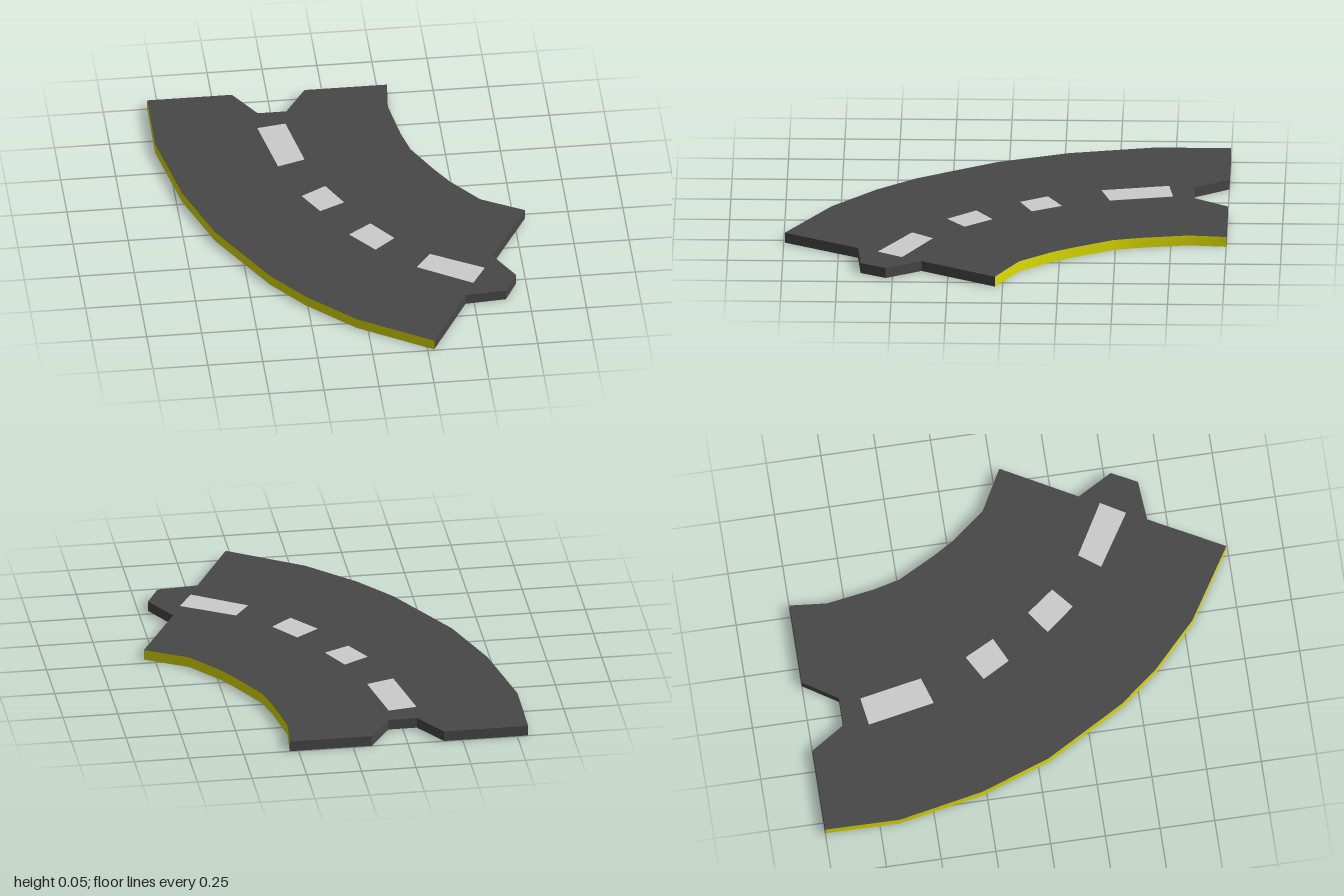
import * as THREE from 'three';

const BOTTOM = 0.001, TOP = 0.049;

// Plan outline as [x, z], split into four runs that meet at the corners
const outerEdge = [[-0.8, -1], [-0.803, -0.66], [-0.725, -0.27], [-0.61, 0.05], [-0.4, 0.415], [-0.26, 0.59], [-0.05, 0.79], [0.28, 0.995]];
const tabEnd = [[0.28, 0.995], [0.46, 0.66], [0.645, 0.645], [0.705, 0.53], [0.615, 0.37], [0.8, 0.035]];
const innerEdge = [[0.8, 0.035], [0.61, -0.07], [0.49, -0.22], [0.43, -0.32], [0.34, -0.49], [0.31, -0.61], [0.275, -0.83], [0.29, -1]];
const notchEnd = [[0.29, -1], [-0.085, -1], [-0.185, -0.845], [-0.315, -0.845], [-0.415, -1], [-0.8, -1]];

// Lane dashes, corners counterclockwise from above
const dashes = [
  [[-0.33, -0.73], [-0.27, -0.425], [-0.145, -0.465], [-0.2, -0.75]],
  [[-0.19, -0.185], [-0.12, -0.06], [-0.005, -0.115], [-0.075, -0.25]],
  [[-0.01, 0.135], [0.095, 0.265], [0.19, 0.185], [0.095, 0.06]],
  [[0.335, 0.325], [0.265, 0.42], [0.505, 0.57], [0.57, 0.46]],
];

const toShape = (points) => new THREE.Shape(points.map(([x, z]) => new THREE.Vector2(x, -z)));

// Upright strip following a run of the outline
function wall(points, smooth) {
  const positions = [], index = [];
  points.forEach(([x, z], i) => {
    positions.push(x, BOTTOM, z, x, TOP, z);
    const a = i * 2;
    if (i < points.length - 1) index.push(a, a + 2, a + 3, a, a + 3, a + 1);
  });
  let geometry = new THREE.BufferGeometry();
  geometry.setAttribute('position', new THREE.Float32BufferAttribute(positions, 3));
  geometry.setIndex(index);
  if (!smooth) geometry = geometry.toNonIndexed();
  geometry.computeVertexNormals();
  return geometry;
}

export function createModel() {
  const group = new THREE.Group();
  group.name = 'curvedRoadPiece';
  const asphalt = new THREE.MeshStandardMaterial({ color: 0x484848 });
  const yellow = new THREE.MeshStandardMaterial({ color: 0xe0e000 });
  const paint = new THREE.MeshStandardMaterial({ color: 0xbcbcbc });

  const add = (name, geometry, material) => {
    const mesh = new THREE.Mesh(geometry, material);
    mesh.name = name;
    group.add(mesh);
    return mesh;
  };

  // Road surface and underside
  const runs = [outerEdge, tabEnd, innerEdge, notchEnd];
  const plan = toShape(runs.flatMap((run) => run.slice(0, -1)));
  add('roadSurface', new THREE.ShapeGeometry(plan).rotateX(-Math.PI / 2).translate(0, TOP, 0), asphalt);
  const under = new THREE.ShapeGeometry(plan).rotateX(-Math.PI / 2).translate(0, BOTTOM, 0);
  const order = under.index.array;
  for (let i = 0; i < order.length; i += 3) [order[i], order[i + 1]] = [order[i + 1], order[i]];
  under.computeVertexNormals();
  add('roadUnderside', under, asphalt);

  // Yellow curved sides and dark connector ends
  add('outerSide', wall(outerEdge, true), yellow);
  add('innerSide', wall(innerEdge, true), yellow);
  add('tabEnd', wall(tabEnd, false), asphalt);
  add('notchEnd', wall(notchEnd, false), asphalt);

  // Dashes run through the slab and show on both faces
  dashes.forEach((corners, i) => {
    const geometry = new THREE.ExtrudeGeometry(toShape(corners), { depth: TOP + 0.001, bevelEnabled: false });
    add('laneDash' + (i + 1), geometry.rotateX(-Math.PI / 2), paint);
  });

  return group;
}
